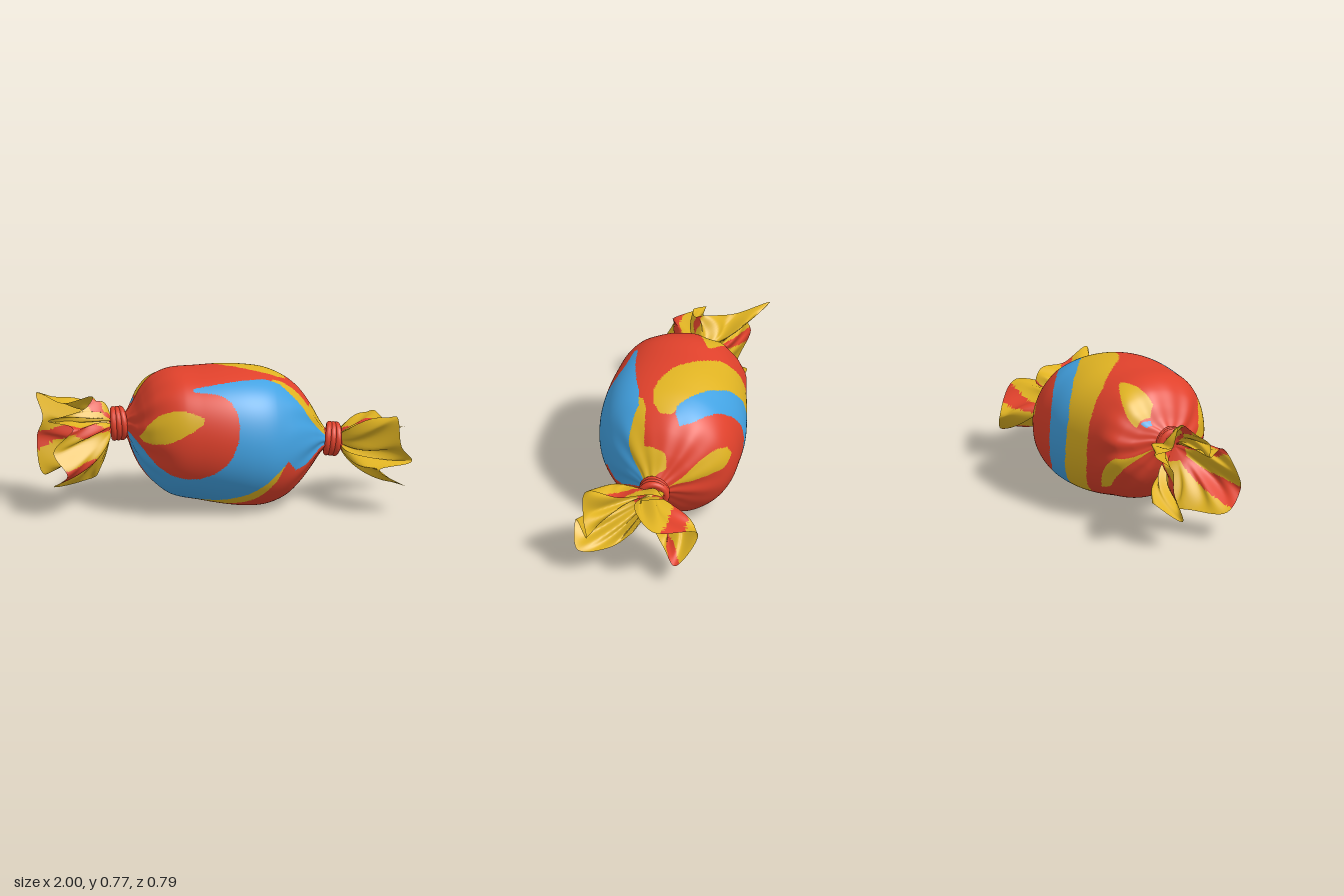
import * as THREE from 'three';

const mat = (name, color, side = THREE.FrontSide) =>
  Object.assign(new THREE.MeshStandardMaterial({ color, side }), { name });

// Smooth grid closed around v; pick(u, v) returns the material index of each cell.
function wrapSurface(point, pick, nu, nv) {
  const pos = [], lists = [[], [], []];
  for (let i = 0; i <= nu; i++)
    for (let j = 0; j < nv; j++) pos.push(...point(i / nu, j / nv));
  for (let i = 0; i < nu; i++)
    for (let j = 0; j < nv; j++) {
      const k = (j + 1) % nv, a = i * nv + j, b = i * nv + k, c = a + nv, d = b + nv;
      lists[pick((i + 0.33) / nu, (j + 0.33) / nv)].push(a, b, c);
      lists[pick((i + 0.67) / nu, (j + 0.67) / nv)].push(b, d, c);
    }
  const geo = new THREE.BufferGeometry();
  geo.setAttribute('position', new THREE.Float32BufferAttribute(pos, 3));
  geo.setIndex(lists.flat());
  let start = 0;
  lists.forEach((l, m) => { if (l.length) geo.addGroup(start, l.length, m); start += l.length; });
  geo.computeVertexNormals();
  return geo;
}

// Body outline: x, top y, bottom y, back z, front z
const stations = [
  [-0.56, 0.51, 0.42, -0.05, 0.05], [-0.53, 0.54, 0.38, -0.09, 0.09],
  [-0.5, 0.58, 0.3, -0.19, 0.17], [-0.46, 0.65, 0.225, -0.27, 0.24],
  [-0.4, 0.72, 0.155, -0.31, 0.3], [-0.3, 0.765, 0.08, -0.335, 0.355],
  [-0.15, 0.772, 0.045, -0.37, 0.385], [0, 0.775, 0.015, -0.395, 0.397],
  [0.12, 0.766, 0.002, -0.395, 0.39], [0.22, 0.746, 0.008, -0.39, 0.365],
  [0.32, 0.7, 0.045, -0.36, 0.31], [0.4, 0.635, 0.115, -0.29, 0.245],
  [0.47, 0.54, 0.205, -0.2, 0.165], [0.52, 0.45, 0.275, -0.11, 0.09],
  [0.56, 0.39, 0.31, -0.05, 0.05],
];
const heights = new THREE.CatmullRomCurve3(stations.map(s => new THREE.Vector3(s[0], s[1], s[2])));
const depths = new THREE.CatmullRomCurve3(stations.map(s => new THREE.Vector3(s[0], s[3], s[4])));

function bodyPoint(u, v) {
  const h = heights.getPoint(u), d = depths.getPoint(u), a = v * Math.PI * 2;
  const c = Math.cos(a), s = Math.sin(a);
  // pleats gather toward both ties, and the upper front is a little fuller
  const e = Math.min(1, Math.max(0, (Math.abs(h.x) - 0.25) / 0.25));
  const f = 1 + e * e * (0.035 * Math.sin(9 * a + 1) + 0.025 * Math.sin(14 * a + 8 * h.x))
    + (1 - e) * 0.05 * Math.pow(Math.max(0, Math.cos(a - 0.75)), 10);
  const sq = t => Math.sign(t) * Math.pow(Math.abs(t), 0.97);
  return [h.x, (h.y + h.z) / 2 + f * sq(c) * (h.y - h.z) / 2,
    (d.y + d.z) / 2 + f * sq(s) * (d.z - d.y) / 2];
}

// Painted patches as outlines of [x, degrees around the body, 0 = top, 90 = front]
const bluePatches = [
  // large front field
  [[-0.2, 37], [-0.1, 34], [0, 31], [0.2, 24], [0.28, 25], [0.38, 38], [0.45, 52], [0.54, 62],
    [0.54, 112], [0.42, 118], [0.36, 115], [0.315, 101], [0.2, 119], [0.1, 132], [-0.05, 148],
    [-0.25, 166], [-0.4, 166], [-0.52, 152], [-0.54, 105], [-0.5, 101], [-0.45, 112], [-0.4, 119],
    [-0.33, 122], [-0.25, 122], [-0.17, 119], [-0.1, 112], [-0.04, 103], [0, 94], [0.03, 83],
    [0.04, 70], [0.03, 60], [0, 51], [-0.04, 46], [-0.09, 43], [-0.2, 41]],
  // band round the back
  [[0.37, 345], [0.34, 335], [0.3, 329], [0.2, 315], [0.12, 299], [0.07, 285], [0.06, 272], [0.07, 260],
    [0.13, 240], [0.24, 222], [0.33, 200], [0.33, 186], [0.22, 188], [0.1, 215], [-0.02, 240],
    [-0.08, 258], [-0.1, 274], [-0.09, 290], [-0.02, 310], [0.1, 329], [0.2, 342], [0.28, 352], [0.325, 352]],
  // fleck beside the left-hand top patch
  [[-0.505, 325], [-0.505, 338], [-0.488, 342], [-0.488, 325]],
];
const yellowPatches = [
  // band beside the blue one
  [[0.33, 356], [0.33, 366], [0.28, 372], [0.2, 372], [0.13, 369], [0, 360], [-0.1, 344], [-0.2, 324],
    [-0.25, 300], [-0.27, 275], [-0.25, 255], [-0.2, 240], [-0.08, 215], [0.05, 195], [0.13, 175], [0.22, 168],
    [0.26, 188], [0.13, 215], [0, 240], [-0.04, 265], [-0.04, 288], [0.05, 310], [0.2, 338]],
  // small patches
  [[-0.49, 88], [-0.45, 71], [-0.39, 62], [-0.32, 59], [-0.25, 59], [-0.15, 64], [-0.16, 70],
    [-0.22, 77], [-0.35, 90], [-0.42, 94], [-0.47, 94]],
  [[-0.487, 315], [-0.48, 345], [-0.455, 355], [-0.4, 350], [-0.25, 337], [-0.29, 331], [-0.4, 322]],
  [[0.23, 26], [0.25, 21], [0.3, 19], [0.4, 22], [0.45, 26], [0.475, -10], [0.51, -25], [0.54, 0],
    [0.54, 65], [0.45, 58], [0.35, 38]],
  [[0.54, 276], [0.47, 294], [0.43, 298], [0.35, 297], [0.29, 290], [0.27, 281], [0.35, 273], [0.48, 270]],
  [[-0.54, 250], [-0.45, 258], [-0.33, 241], [-0.25, 225], [-0.33, 225], [-0.45, 235]],
  [[0.3, 103], [0.2, 115], [0.1, 128], [-0.05, 145], [-0.22, 164], [0, 157], [0.15, 138], [0.25, 119]],
];
function inside(poly, x, y) {
  let hit = false;
  poly.forEach(([x1, y1], i) => {
    const [x2, y2] = poly[(i + 1) % poly.length];
    if ((y1 > y) !== (y2 > y) && x < x1 + (y - y1) * (x2 - x1) / (y2 - y1)) hit = !hit;
  });
  return hit;
}
const inAny = (patches, x, a) =>
  patches.some(p => inside(p, x, a) || inside(p, x, a - 360) || inside(p, x, a + 360));
function bodyColour(u, v) {
  const x = heights.getPoint(u).x, a = v * 360;
  return inAny(bluePatches, x, a) ? 2 : inAny(yellowPatches, x, a) ? 1 : 0;
}

// Wrapper ends: tie position, crumpled rim loop, gather direction and red stripes
const ends = [
  { side: 'right', out: -1, tie: [-0.585, 0.47, 0], tilt: 0.05, start: 0, dir: -1,
    red: [[0.58, 0.64], [0.73, 0.77], [0.95, 0.99], [0.23, 0.27]],
    rim: [[-0.72, 0.62, -0.01], [-0.87, 0.55, -0.15], [-0.99, 0.57, -0.32], [-0.97, 0.46, -0.2],
      [-1, 0.35, -0.21], [-0.97, 0.16, -0.14], [-0.8, 0.23, -0.23], [-0.68, 0.16, -0.12],
      [-0.78, 0.15, 0], [-0.95, 0.16, 0.14], [-0.89, 0.25, 0.26], [-0.96, 0.37, 0.21],
      [-0.85, 0.49, 0.18], [-0.97, 0.5, 0.03], [-0.88, 0.54, 0.08], [-0.77, 0.57, 0.05]] },
  { side: 'left', out: 1, tie: [0.585, 0.345, -0.01], tilt: -0.12, start: 45, dir: 1,
    red: [[0.53, 0.575], [0.65, 0.677], [0.93, 0.96], [0.8, 0.83]],
    rim: [[0.91, 0.53, 0.3], [0.93, 0.37, 0.31], [0.99, 0.28, 0.28], [0.8, 0.26, 0.38],
      [0.94, 0.16, 0.34], [0.88, 0.16, 0.17], [0.8, 0.21, 0.07], [0.73, 0.26, 0.01],
      [0.87, 0.2, -0.12], [0.94, 0.13, -0.2], [0.8, 0.26, -0.3], [1, 0.38, -0.09],
      [0.75, 0.38, 0.06], [0.75, 0.43, -0.1], [0.81, 0.49, -0.04], [0.86, 0.48, 0.13]] },
];

function fanGeometry({ tie, out, rim, start, dir, red }) {
  const loop = new THREE.CatmullRomCurve3(rim.map(p => new THREE.Vector3(...p)), true);
  // sheets burst from a closed gather just outside the tie
  const point = (s, v) => {
    const p = loop.getPoint(v), a = THREE.MathUtils.degToRad(start + dir * v * 360);
    const flare = Math.pow(s, 0.46), crease = 0.012 * Math.sin(s * Math.PI);
    const w = crease * Math.sin(v * 34 * Math.PI + s * 6), n = 0.015;
    return [THREE.MathUtils.lerp(tie[0] + out * 0.035, p.x, s) + w * 0.5,
      THREE.MathUtils.lerp(tie[1] + n * Math.cos(a), p.y, flare) + w,
      THREE.MathUtils.lerp(tie[2] + n * Math.sin(a), p.z, flare) - w];
  };
  const pick = (s, v) => {
    const t = v + 0.03 * (1 - s);
    return s < 0.03 || red.some(([a, b]) => t > a && t < b) ? 0 : 1;
  };
  return wrapSurface(point, pick, 24, 176);
}

export function createModel() {
  const group = new THREE.Group();
  const red = mat('red wrapper', 0xe0412b), yellow = mat('yellow wrapper', 0xe0b322);
  const blue = mat('blue wrapper', 0x42a2e2);
  const redSheet = mat('red loose wrapper', 0xe0412b, THREE.DoubleSide);
  const yellowSheet = mat('yellow loose wrapper', 0xe0b322, THREE.DoubleSide);
  const add = (name, geo, material, parent = group) => {
    const m = new THREE.Mesh(geo, material);
    m.name = name;
    parent.add(m);
    return m;
  };

  add('wrappedBody', wrapSurface(bodyPoint, bodyColour, 200, 300), [red, yellow, blue]);

  for (const end of ends) {
    add(end.side + 'WrapperEnd', fanGeometry(end), [redSheet, yellowSheet]);

    // tie: a core with three tilted twists round it
    const tie = new THREE.Group();
    tie.name = end.side + 'Tie';
    tie.position.set(...end.tie);
    tie.rotation.z = end.tilt;
    const core = add('tieCore', new THREE.CylinderGeometry(0.065, 0.065, 0.06, 24), red, tie);
    core.rotation.z = Math.PI / 2;
    for (const i of [-1, 0, 1]) {
      const ring = add('tieTwist', new THREE.TorusGeometry(0.07, 0.018, 10, 32), red, tie);
      ring.position.x = i * 0.02;
      ring.rotation.set(0, Math.PI / 2 + i * 0.12, 0);
      ring.scale.y = 1.08;
    }
    group.add(tie);
  }
  return group;
}
